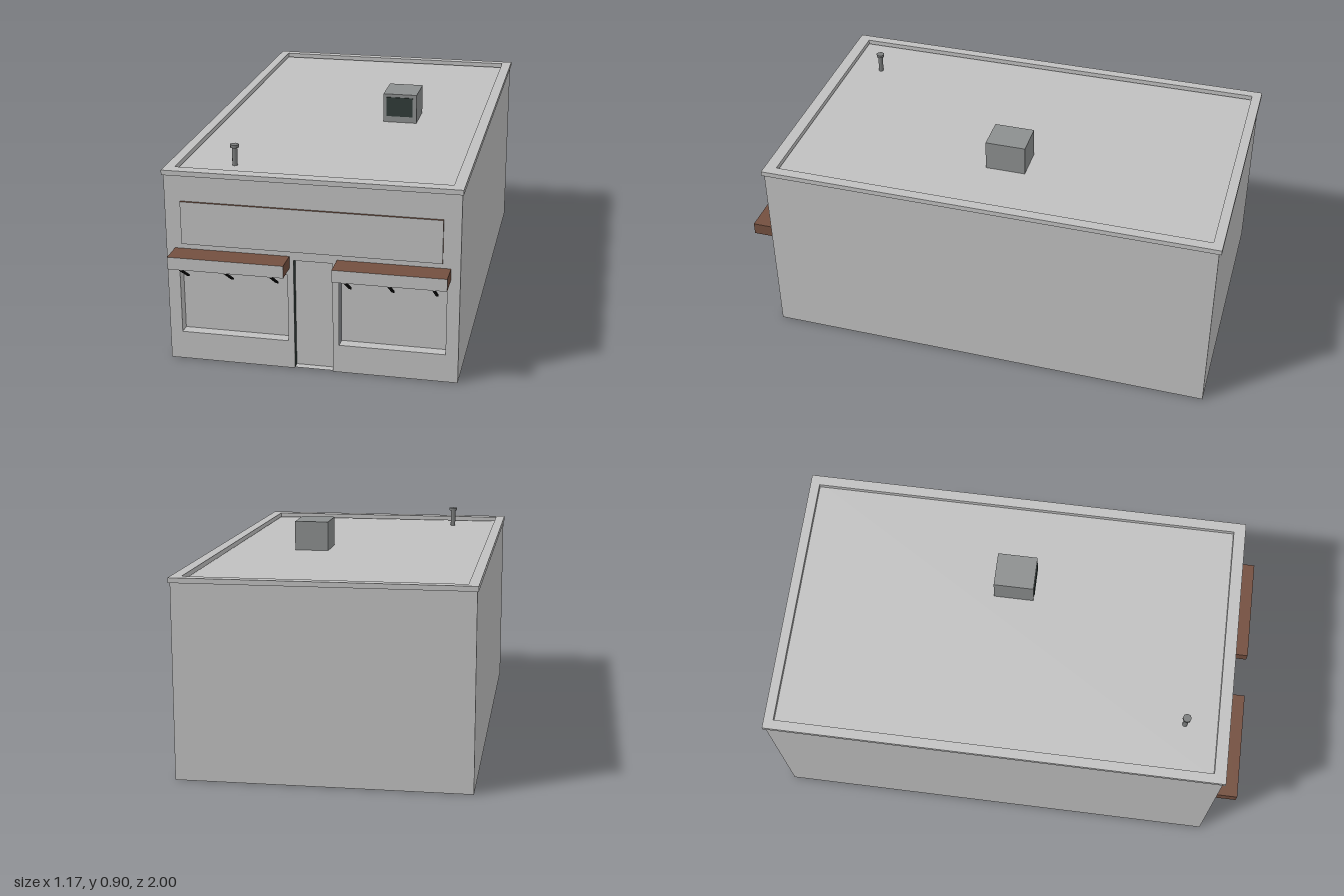
import * as THREE from 'three';

const mat = (name, color, side = THREE.FrontSide) => {
  const m = new THREE.MeshStandardMaterial({ color, side });
  m.name = name;
  return m;
};

export function createModel() {
  const plaster = mat('plaster', 0xc0c0c0, THREE.DoubleSide);
  const wood = mat('wood', 0x734f3f);
  const dark = mat('darkTrim', 0x303b38, THREE.DoubleSide);
  const metal = mat('metal', 0x8c8f8f);
  const pipeGrey = mat('pipeGrey', 0x7c7e7e);
  const iron = mat('iron', 0x101010);

  const model = new THREE.Group();
  model.name = 'shop';
  const add = (name, geo, material, x = 0, y = 0, z = 0, parent = model) => {
    const m = new THREE.Mesh(geo, material);
    m.name = name;
    m.position.set(x, y, z);
    parent.add(m);
    return m;
  };
  // Box and upright/flat sheets given by their extents
  const box = (name, [x0, x1], [y0, y1], [z0, z1], material, parent) =>
    add(name, new THREE.BoxGeometry(x1 - x0, y1 - y0, z1 - z0), material,
      (x0 + x1) / 2, (y0 + y1) / 2, (z0 + z1) / 2, parent);
  const sheetZ = (name, [x0, x1], [y0, y1], z, material, parent) =>
    add(name, new THREE.PlaneGeometry(x1 - x0, y1 - y0), material, (x0 + x1) / 2, (y0 + y1) / 2, z, parent);
  const sheetX = (name, x, [y0, y1], [z0, z1], material, parent, dir = 1) =>
    add(name, new THREE.PlaneGeometry(z1 - z0, y1 - y0).rotateY(dir * Math.PI / 2), material,
      x, (y0 + y1) / 2, (z0 + z1) / 2, parent);
  const sheetY = (name, [x0, x1], y, [z0, z1], material, parent, dir = -1) =>
    add(name, new THREE.PlaneGeometry(x1 - x0, z1 - z0).rotateX(dir * Math.PI / 2), material,
      (x0 + x1) / 2, y, (z0 + z1) / 2, parent);
  const rect = (x0, x1, y0, y1, Kind = THREE.Shape) =>
    new Kind([[x0, y0], [x1, y0], [x1, y1], [x0, y1]].map(p => new THREE.Vector2(...p)));

  const W = 0.58, FRONT = 0.9, BACK = -0.99, H = 0.78;
  const windows = [
    { x: [-0.53, -0.094], outer: -0.53 },
    { x: [0.11, 0.53], outer: 0.53 },
  ];
  const winY = [0.117, 0.399], door = [-0.069, 0.085], doorTop = 0.462;

  // Front wall with a doorway notch and two window openings
  const front = new THREE.Shape([[-W, 0], [door[0], 0], [door[0], doorTop], [door[1], doorTop],
    [door[1], 0], [W, 0], [W, H], [-W, H]].map(p => new THREE.Vector2(...p)));
  for (const w of windows) front.holes.push(rect(...w.x, ...winY, THREE.Path));
  add('frontWall', new THREE.ShapeGeometry(front), plaster, 0, 0, FRONT);

  // Remaining walls and sunken roof, open underneath
  sheetX('leftWall', W, [0, H], [BACK, FRONT], plaster);
  sheetX('rightWall', -W, [0, H], [BACK, FRONT], plaster, model, -1);
  sheetZ('backWall', [-W, W], [0, H], BACK, plaster).rotation.y = Math.PI;
  sheetY('roof', [-W, W], 0.775, [BACK, FRONT], plaster);

  // Coping around the roof edge
  const ring = rect(-0.585, 0.585, -0.91, 1);
  ring.holes.push(rect(-0.545, 0.542, -0.86, 0.96, THREE.Path));
  add('coping', new THREE.ExtrudeGeometry(ring, { depth: 0.02, bevelEnabled: false })
    .rotateX(-Math.PI / 2), plaster, 0, H, 0);

  // Recessed windows, open on the side next to the door
  for (const w of windows) {
    const g = new THREE.Group();
    g.name = 'window';
    model.add(g);
    const z = [FRONT - 0.045, FRONT];
    sheetZ('windowPane', w.x, winY, z[0], plaster, g);
    sheetY('windowSill', w.x, winY[0], z, plaster, g);
    sheetY('windowHead', w.x, winY[1], z, plaster, g, 1);
    sheetX('windowJamb', w.outer, winY, z, plaster, g, -Math.sign(w.outer));
  }

  // Recessed door with dark jambs
  const dz = [FRONT - 0.03, FRONT];
  sheetZ('door', door, [0.004, doorTop], dz[0], plaster);
  sheetY('doorstep', door, 0.004, dz, plaster);
  sheetY('doorHead', door, doorTop, dz, plaster, model, 1);
  sheetX('doorJamb', door[0], [0.004, doorTop], dz, dark);
  sheetX('doorJamb', door[1], [0.004, doorTop], dz, dark, model, -1);

  // Sign board and awnings: wooden edges, plain front
  const edged = [wood, wood, wood, wood, plaster, wood];
  box('signBoard', [-0.515, 0.512], [0.5, 0.675], [FRONT, 0.91], edged);
  box('awning', [-0.545, -0.085], [0.428, 0.478], [FRONT, 1], edged);
  box('awning', [0.103, 0.543], [0.428, 0.478], [FRONT, 1], edged);

  // Diagonal awning struts
  const dy = 0.063, len = Math.hypot(dy, 0.096);
  for (const x of [-0.495, -0.315, -0.135, 0.155, 0.323, 0.493]) {
    add('awningStrut', new THREE.BoxGeometry(0.01, 0.007, len), iron, x, 0.365 + dy / 2, 0.949)
      .rotation.x = -Math.atan2(dy, 0.096);
  }

  // Rooftop unit with a dark grille
  box('roofUnit', [0.125, 0.27], [0.775, 0.9], [-0.132, 0.036], metal);
  box('roofUnitGrille', [0.14, 0.253], [0.802, 0.886], [0.036, 0.04], dark);

  // Vent pipe with a wider cap
  add('ventPipe', new THREE.CylinderGeometry(0.011, 0.011, 0.075, 8), pipeGrey, -0.343, 0.8125, 0.725);
  add('ventCap', new THREE.CylinderGeometry(0.018, 0.018, 0.012, 8), pipeGrey, -0.343, 0.855, 0.725);

  return model;
}
